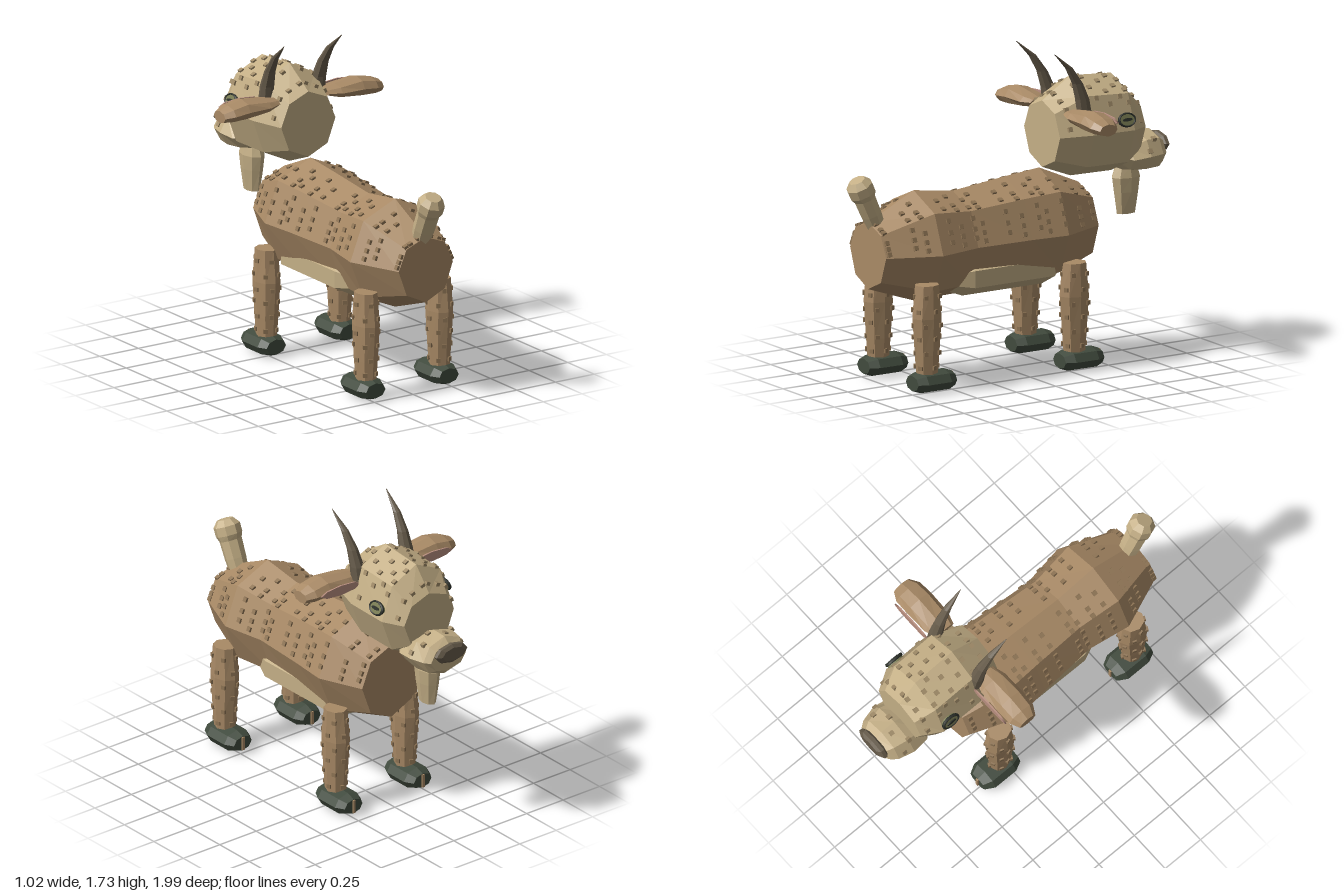
import * as THREE from 'three';
import { mergeGeometries } from 'three/addons/utils/BufferGeometryUtils.js';

const SIDES = 8;
const mat = (name, color) => Object.assign(new THREE.MeshStandardMaterial({ color }), { name });

// A ring is [t, centreX, centreY, radiusX, radiusUp, radiusDown]; rings rise along z.
function corner(ring, k, phase) {
  const [t, cx, cy, rx, up, down = up] = ring;
  const a = (k / SIDES) * Math.PI * 2 + phase;
  const s = Math.sin(a);
  return new THREE.Vector3(cx + rx * Math.cos(a), cy + s * (s > 0 ? up : down), t);
}

// Faceted closed skin through the rings
function loft(rings, phase = 0) {
  const pos = [];
  const tri = (...pts) => pts.forEach(p => pos.push(p.x, p.y, p.z));
  for (let k = 0; k < SIDES; k++) {
    for (let i = 0; i < rings.length - 1; i++) {
      const a = corner(rings[i], k, phase), b = corner(rings[i], k + 1, phase);
      const c = corner(rings[i + 1], k + 1, phase), d = corner(rings[i + 1], k, phase);
      tri(a, b, c);
      tri(a, c, d);
    }
    const cap = (ring, flip) => {
      const m = new THREE.Vector3(ring[1], ring[2], ring[0]);
      const p = corner(ring, k, phase), q = corner(ring, k + 1, phase);
      flip ? tri(m, q, p) : tri(m, p, q);
    };
    cap(rings[0], true);
    cap(rings[rings.length - 1], false);
  }
  const g = new THREE.BufferGeometry();
  g.setAttribute('position', new THREE.Float32BufferAttribute(pos, 3));
  g.computeVertexNormals();
  return g;
}

// Small square tufts sitting on a lofted skin; spots are [t, degrees]
function tufts(rings, spots, size = 0.025, phase = 0) {
  return mergeGeometries(spots.map(([t, deg]) => {
    let i = 0;
    while (i < rings.length - 2 && t > rings[i + 1][0]) i++;
    const A = rings[i], B = rings[i + 1];
    const f = (t - A[0]) / (B[0] - A[0]);
    const full = r => [...r, r[4]].slice(0, 6);
    const a6 = full(A), b6 = full(B);
    const ring = a6.map((v, n) => v + (b6[n] - v) * f);
    const u = deg / 45, k = Math.floor(u);
    const p = corner(ring, k, phase), q = corner(ring, k + 1, phase);
    const box = new THREE.BoxGeometry(size, size * 0.8, size);
    box.rotateZ(Math.atan2(q.y - p.y, q.x - p.x));
    const c = p.lerp(q, u - k);
    return box.translate(c.x, c.y, c.z);
  }));
}

export function createModel() {
  const coat = mat('brown coat', 0xa98a66);
  const pale = mat('pale coat', 0xc4af86);
  const tuftBrown = mat('brown tuft', 0x8f7555);
  const tuftPale = mat('pale tuft', 0xa08b68);
  const hoofDark = mat('hoof green', 0x414b3e);
  const hornGrey = mat('horn grey', 0x665b4a);
  const pink = mat('ear pink', 0xb98f80);
  const eyeDark = mat('eye dark', 0x2c302a);
  const iris = mat('iris green', 0x7d8056);

  const model = new THREE.Group();
  model.name = 'goat';
  const add = (name, geometry, material, parent = model) => {
    const m = new THREE.Mesh(geometry, material);
    m.name = name;
    parent.add(m);
    return m;
  };
  const upright = g => g.rotateX(-Math.PI / 2);

  // Body and its tufts
  const body = [
    [-0.47, 0, 0.77, 0.2, 0.2, 0.23],
    [-0.22, 0, 0.765, 0.295, 0.315, 0.305],
    [0, 0, 0.765, 0.275, 0.295, 0.305],
    [0.33, 0, 0.76, 0.25, 0.265, 0.3],
    [0.58, 0, 0.755, 0.29, 0.305, 0.3],
    [0.87, 0, 0.755, 0.175, 0.165, 0.2],
  ];
  add('body', loft(body), coat);
  const bodySpots = [];
  [-0.44, -0.34, -0.21, -0.11, -0.06, 0.04, 0.13, 0.28, 0.33, 0.42, 0.5, 0.65, 0.71, 0.85].forEach((z, r) => {
    const angles = r % 2 ? [7, 17, 28, 48, 58, 76] : [12, 23, 36, 52, 68];
    for (const a of angles) bodySpots.push([z, a], [z + 0.004, 180 - a]);
  });
  add('bodyTufts', tufts(body, bodySpots), tuftBrown);

  // Belly patch showing through the flanks
  add('belly', loft([
    [-0.25, 0, 0.575, 0.16, 0.08],
    [-0.18, 0, 0.58, 0.235, 0.122],
    [0.33, 0, 0.58, 0.24, 0.122],
    [0.46, 0, 0.58, 0.18, 0.07],
  ], Math.PI / 8), pale);

  // Legs, hooves and hoof clefts
  const leg = [
    [0.1, 0, 0, 0.052, 0.063],
    [0.22, 0, 0, 0.06, 0.072],
    [0.42, 0, 0, 0.068, 0.088],
    [0.6, 0, 0, 0.06, 0.068],
  ];
  const legSpots = [];
  [0.15, 0.23, 0.31, 0.38, 0.46, 0.54].forEach((y, i) => {
    for (let a = 10 + (i % 2) * 30; a < 360; a += 72) legSpots.push([y, a]);
  });
  const hoof = [
    [-0.125, 0, 0, 0.06, 0.042],
    [-0.075, 0, 0, 0.088, 0.06],
    [0.07, 0, 0, 0.088, 0.06],
    [0.122, 0, 0, 0.062, 0.042],
  ];
  for (const [end, z] of [['front', -0.29], ['rear', 0.65]]) {
    for (const [side, s] of [['Left', 1], ['Right', -1]]) {
      const g = new THREE.Group();
      g.name = `${end}${side}Leg`;
      g.position.set(0.237 * s, 0, z);
      model.add(g);
      add('leg', upright(loft(leg)), coat, g);
      add('legTufts', upright(tufts(leg, legSpots, 0.023)), tuftBrown, g);
      add('hoof', loft(hoof), hoofDark, g).position.set(0, 0.068, -0.028);
      add('hoofCleft', new THREE.BoxGeometry(0.016, 0.075, 0.012), coat, g).position.set(0, 0.068, -0.155);
    }
  }

  // Tail
  const tail = add('tail', upright(loft([
    [0, 0, 0, 0.05, 0.05],
    [0.1, 0, 0, 0.06, 0.058],
    [0.2, 0, 0, 0.063, 0.06],
    [0.23, 0, 0, 0.073, 0.075],
    [0.28, 0, 0, 0.073, 0.075],
    [0.315, 0, 0, 0.045, 0.045],
  ])), pale);
  tail.position.set(0, 0.875, 0.81);
  tail.rotation.x = 0.43;

  // Head and its tufts
  const head = [
    [-0.79, 0, 1.265, 0.17, 0.145, 0.185],
    [-0.68, 0, 1.27, 0.235, 0.27, 0.265],
    [-0.42, 0, 1.275, 0.235, 0.285, 0.265],
    [-0.24, 0, 1.27, 0.175, 0.175, 0.19],
  ];
  add('head', loft(head), pale);
  const headSpots = [];
  [-0.75, -0.67, -0.62, -0.55, -0.47, -0.4, -0.3].forEach((z, r) => {
    for (const a of r % 2 ? [34, 52, 74] : [12, 42, 62, 84]) headSpots.push([z, a], [z, 180 - a]);
  });
  add('headTufts', tufts(head, headSpots), tuftPale);

  // Muzzle, nose and beard
  const muzzle = [
    [-0.955, 0, 1.09, 0.12, 0.085, 0.075],
    [-0.92, 0, 1.09, 0.145, 0.115, 0.105],
    [-0.83, 0, 1.09, 0.168, 0.118, 0.105],
    [-0.73, 0, 1.08, 0.155, 0.08, 0.08],
    [-0.65, 0, 1.1, 0.09, 0.03, 0.03],
  ];
  add('muzzle', loft(muzzle), pale);
  add('muzzleTufts', tufts(muzzle, [15, 45, 75, 105, 135, 165].map((a, i) => [-0.83 - (i % 2) * 0.05, a])), tuftPale);
  add('nose', loft([
    [-1, 0, 1.13, 0.075, 0.038],
    [-0.985, 0, 1.13, 0.105, 0.054],
    [-0.965, 0, 1.13, 0.105, 0.054],
    [-0.95, 0, 1.13, 0.08, 0.04],
  ]), hornGrey);
  add('beard', upright(loft([
    [0.76, 0, 0.775, 0.036, 0.058],
    [0.88, 0, 0.775, 0.052, 0.076],
    [0.96, 0, 0.775, 0.058, 0.088],
    [1.02, 0, 0.775, 0.045, 0.065],
  ])), pale);

  for (const [side, s] of [['left', 1], ['right', -1]]) {
    // Horn sweeping backwards
    add(`${side}Horn`, upright(loft([
      [1.38, 0.165 * s, 0.4, 0.042, 0.044],
      [1.47, 0.168 * s, 0.385, 0.038, 0.04],
      [1.56, 0.172 * s, 0.352, 0.03, 0.031],
      [1.65, 0.178 * s, 0.295, 0.02, 0.022],
      [1.74, 0.186 * s, 0.197, 0.002, 0.002],
    ])), hornGrey);

    // Ear pointing sideways, with its lining facing forwards
    const ear = new THREE.Group();
    ear.name = `${side}Ear`;
    ear.position.set(0, 1.39, -0.33);
    if (s < 0) ear.rotation.y = Math.PI;
    model.add(ear);
    const earGeo = loft([
      [0.16, 0, 0.005, 0.06, 0.02],
      [0.23, 0, 0, 0.083, 0.037],
      [0.37, 0, 0, 0.087, 0.055],
      [0.46, 0, -0.01, 0.083, 0.046],
      [0.512, 0, -0.02, 0.055, 0.033],
    ]);
    add('ear', earGeo.rotateY(Math.PI / 2), coat, ear);
    const lining = new THREE.CylinderGeometry(1, 1, 0.009, 8).rotateX(Math.PI / 2).scale(0.135, 0.028, 1);
    add('earLining', lining, pink, ear).position.set(0.315, -0.003, -0.1 * s);

    // Eye: dark rim, iris and level slit pupil
    const eye = new THREE.Group();
    eye.name = `${side}Eye`;
    eye.position.set(0.222 * s, 1.33, -0.63);
    eye.rotation.set(0, s * Math.PI / 2, 0);
    eye.rotateX(-0.3);
    model.add(eye);
    const disc = (w, h, d) => new THREE.CylinderGeometry(1, 1, d, 12).rotateX(Math.PI / 2).scale(w, h, 1);
    add('iris', disc(0.05, 0.032, 0.03), iris, eye);
    add('eyeRim', new THREE.TorusGeometry(0.05, 0.008, 6, 14).scale(1, 0.7, 1.2), eyeDark, eye).position.z = 0.01;
    add('pupil', disc(0.03, 0.009, 0.008), eyeDark, eye).position.z = 0.017;
  }
  return model;
}
